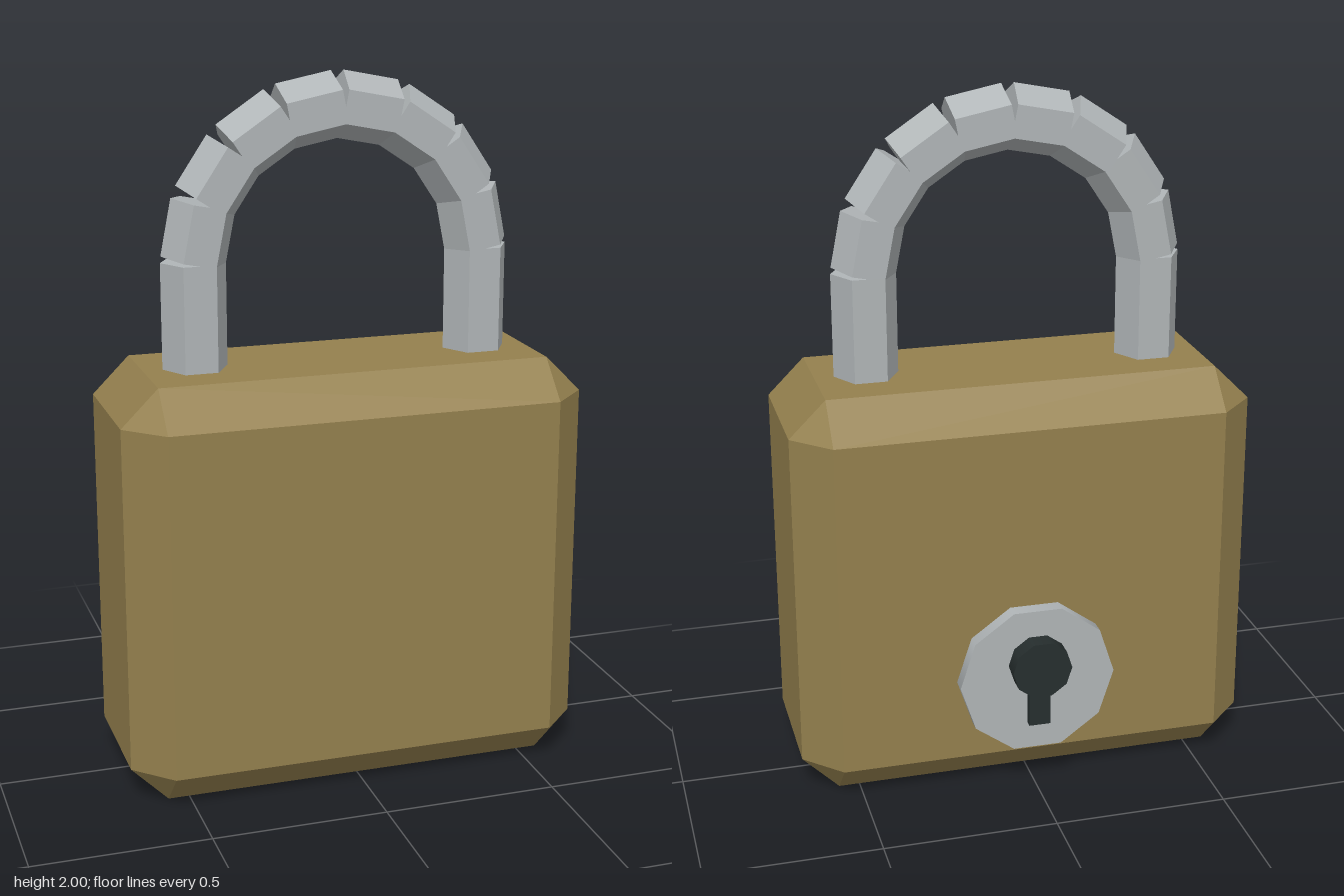
import * as THREE from 'three';
import { ConvexGeometry } from 'three/addons/geometries/ConvexGeometry.js';

const brass = new THREE.MeshStandardMaterial({ color: 0x94804e });
brass.name = 'brass';
const steel = new THREE.MeshStandardMaterial({ color: 0xb0b5b7 });
steel.name = 'steel';
const black = new THREE.MeshStandardMaterial({ color: 0x262e2e });
black.name = 'keyhole black';

const MID_Z = 0.0465; // middle of the body's thickness

function addMesh(parent, name, geometry, material, x = 0, y = 0, z = 0) {
  const mesh = new THREE.Mesh(geometry, material);
  mesh.name = name;
  mesh.position.set(x, y, z);
  parent.add(mesh);
  return mesh;
}

// Box with every edge cut at 45 degrees and triangular corners
function chamferedBox(w, h, d, c) {
  const points = [];
  for (const sx of [-1, 1]) for (const sy of [-1, 1]) for (const sz of [-1, 1]) {
    for (let axis = 0; axis < 3; axis++) {
      const cut = [c, c, c];
      cut[axis] = 0;
      points.push(new THREE.Vector3(sx * (w / 2 - cut[0]), sy * (h / 2 - cut[1]), sz * (d / 2 - cut[2])));
    }
  }
  return new ConvexGeometry(points);
}

// Six-sided bar with one corner edge facing +x
function hexBar(radius, length) {
  const bar = new THREE.CylinderGeometry(radius, radius, length, 6);
  bar.rotateY(Math.PI / 2);
  const flat = bar.toNonIndexed();
  flat.computeVertexNormals();
  return flat;
}

// Ten-sided disc facing the back, with corners on the x axis
function disc(radius, depth) {
  return new THREE.CylinderGeometry(radius, radius, depth, 10).rotateY(Math.PI / 2).rotateX(Math.PI / 2);
}

export function createModel() {
  const model = new THREE.Group();
  model.name = 'padlock';

  addMesh(model, 'body', chamferedBox(1.33, 1.2, 0.587, 0.105), brass, 0, 0.6, MID_Z);

  // Shackle: two straight legs and an arch of straight links, notched on the outside
  const shackle = new THREE.Group();
  shackle.name = 'shackle';
  model.add(shackle);
  const barRadius = 0.0925, archRadius = 0.412, archY = 1.498, links = 8;
  for (const side of [-1, 1]) {
    const leg = addMesh(shackle, side > 0 ? 'leftLeg' : 'rightLeg', hexBar(barRadius, 0.35), steel,
      side * archRadius, archY - 0.175, MID_Z - 0.0015);
    if (side < 0) leg.rotation.y = Math.PI;
  }
  const step = Math.PI / links;
  const linkGeometry = hexBar(barRadius, 2 * archRadius * Math.sin(step / 2));
  const midRadius = archRadius * Math.cos(step / 2);
  for (let i = 0; i < links; i++) {
    const angle = (i + 0.5) * step;
    const link = addMesh(shackle, 'archLink', linkGeometry, steel,
      midRadius * Math.cos(angle), archY + midRadius * Math.sin(angle), MID_Z - 0.0015);
    link.rotation.z = angle;
  }

  // Lock plate and keyhole on the back
  const lock = new THREE.Group();
  lock.name = 'lock';
  model.add(lock);
  addMesh(lock, 'lockPlate', disc(0.227, 0.06), steel, 0, 0.35, -0.261);
  addMesh(lock, 'keyholeRound', disc(0.0865, 0.07), black, 0, 0.405, -0.309);
  addMesh(lock, 'keyholeSlot', new THREE.BoxGeometry(0.062, 0.17, 0.04), black, 0, 0.302, -0.295);

  return model;
}
